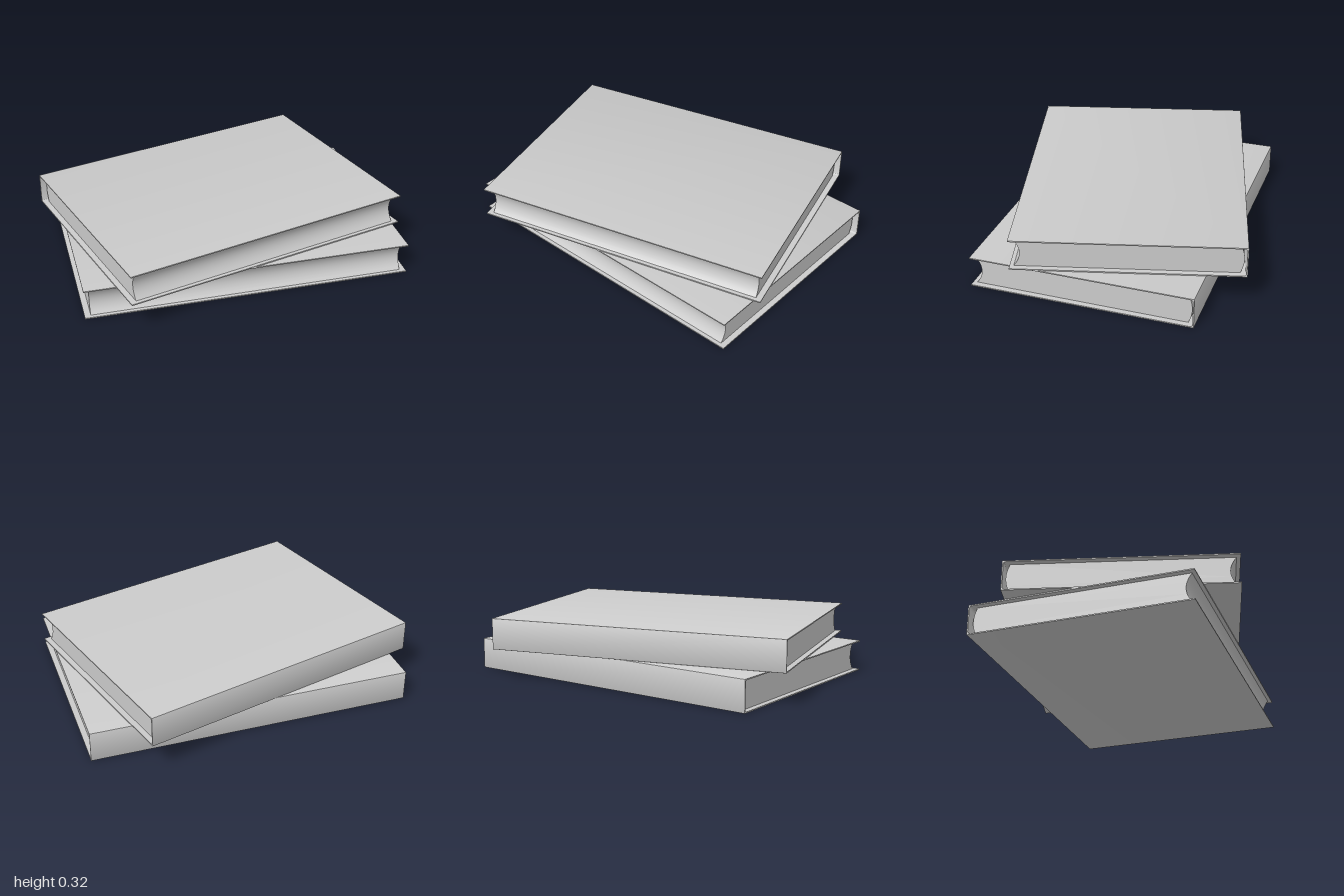
import * as THREE from 'three';
import { toCreasedNormals } from 'three/addons/utils/BufferGeometryUtils.js';

const WIDTH = 1.13, HEIGHT = 0.159, BOARD = 0.006;
const material = new THREE.MeshStandardMaterial({ color: 0xcccccc });

// Extrudes a cross-section along z, centred, keeping the curved sides smooth
function extrude(shape, length, name) {
  const geometry = new THREE.ExtrudeGeometry(shape, { depth: length, bevelEnabled: false, curveSegments: 10 });
  geometry.translate(0, 0, -length / 2);
  const mesh = new THREE.Mesh(toCreasedNormals(geometry, 0.5), material);
  mesh.name = name;
  return mesh;
}

// Two boards joined by a flat spine on the -x side, with softened corners
function coverShape() {
  const l = -WIDTH / 2, r = WIDTH / 2, h = HEIGHT, t = BOARD, c = 0.003, f = 0.014;
  const s = new THREE.Shape();
  s.moveTo(l + c, 0);
  s.lineTo(r, 0);
  s.lineTo(r, t);
  s.lineTo(l + t + f, t);
  s.quadraticCurveTo(l + t, t, l + t, t + f);
  s.lineTo(l + t, h - t - f);
  s.quadraticCurveTo(l + t, h - t, l + t + f, h - t);
  s.lineTo(r, h - t);
  s.lineTo(r, h);
  s.lineTo(l + c, h);
  s.quadraticCurveTo(l, h, l, h - c);
  s.lineTo(l, c);
  s.quadraticCurveTo(l, 0, l + c, 0);
  return s;
}

// Page block: rounded back, hollow fore edge
function pagesShape() {
  const l = -WIDTH / 2 + 0.034, r = WIDTH / 2 - 0.02;
  const b = BOARD, t = HEIGHT - BOARD, m = HEIGHT / 2;
  const s = new THREE.Shape();
  s.moveTo(l, b);
  s.lineTo(r, b);
  s.quadraticCurveTo(r - 0.06, m, r, t);
  s.lineTo(l, t);
  s.quadraticCurveTo(l - 0.036, m, l, b);
  return s;
}

function book(name, length, degrees, x, y, z) {
  const group = new THREE.Group();
  group.name = name;
  group.add(extrude(coverShape(), length, 'cover'), extrude(pagesShape(), length - 0.06, 'pages'));
  group.rotation.y = THREE.MathUtils.degToRad(degrees);
  group.position.set(x, y, z);
  return group;
}

export function createModel() {
  const model = new THREE.Group();
  model.name = 'bookStack';
  model.add(
    book('lowerBook', 1.65, -30, 0, 0, 0),
    book('upperBook', 1.535, -15, -0.02, HEIGHT, 0.02),
  );
  return model;
}
